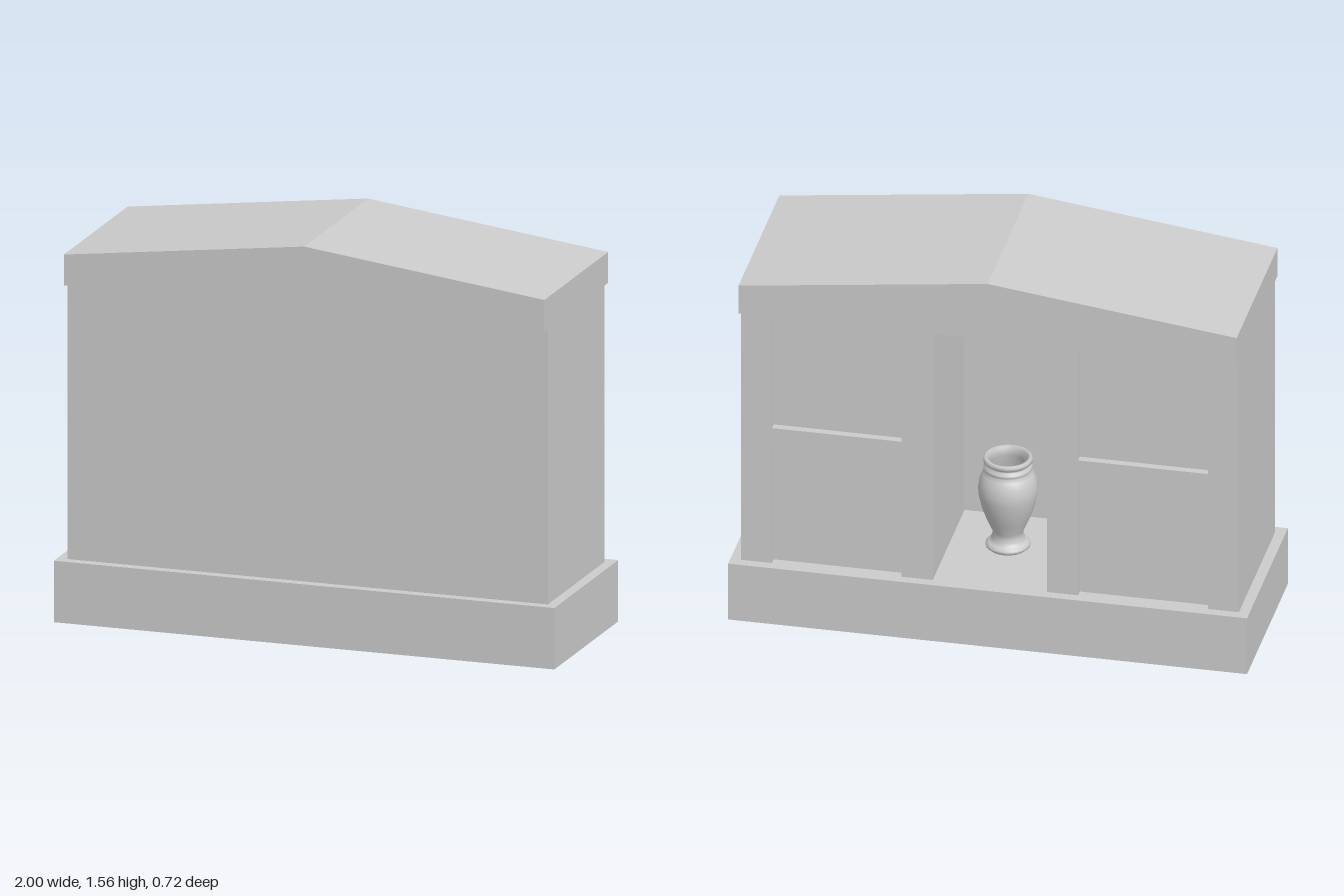
import * as THREE from 'three';

const material = new THREE.MeshStandardMaterial({ color: 0xcccccc });
const BASE_TOP = 0.24, WALL_TOP = 1.32;

function add(group, name, geometry, mat = material) {
  const mesh = new THREE.Mesh(geometry, mat);
  mesh.name = name;
  group.add(mesh);
  return mesh;
}

const polygon = (points) => new THREE.Shape(points.map(([x, y]) => new THREE.Vector2(x, y)));

export function createModel() {
  const model = new THREE.Group();
  model.name = 'mausoleum';

  // Plinth
  add(model, 'base', new THREE.BoxGeometry(2, BASE_TOP, 0.72)).position.y = BASE_TOP / 2;

  // Walls: floor plan (second value is -z) with an open niche and two recessed panels at the back
  const half = [[0.96, -0.32], [0.96, 0.32], [0.84, 0.32], [0.84, 0.29], [0.34, 0.29], [0.34, 0.32], [0.22, 0.32], [0.22, -0.24]];
  const mirrored = half.map(([x, y]) => [-x, y]).reverse();
  const walls = new THREE.ExtrudeGeometry(polygon([...half, ...mirrored]), { depth: WALL_TOP - BASE_TOP, bevelEnabled: false });
  walls.rotateX(-Math.PI / 2);
  add(model, 'walls', walls).position.y = BASE_TOP;

  // Cross rails dividing the recessed panels
  for (const [side, label] of [[1, 'left'], [-1, 'right']]) {
    add(model, label + 'PanelRail', new THREE.BoxGeometry(0.5, 0.08, 0.03)).position.set(side * 0.59, 0.78, -0.305);
  }

  // Low gabled roof
  const gable = polygon([[-0.96, WALL_TOP], [0.96, WALL_TOP], [0.96, 1.44], [0, 1.56], [-0.96, 1.44]]);
  add(model, 'roof', new THREE.ExtrudeGeometry(gable, { depth: 0.72, bevelEnabled: false })).position.z = -0.36;

  // Urn standing in the niche: foot, stem, belly, collar, lip and hollow inside
  const outline = [
    [0, 0], [0.075, 0], [0.084, 0.008], [0.084, 0.018], [0.074, 0.028], [0.062, 0.032], [0.064, 0.044],
    [0.056, 0.052], [0.06, 0.075], [0.08, 0.12], [0.1, 0.175], [0.111, 0.225], [0.113, 0.255],
    [0.108, 0.29], [0.096, 0.318], [0.086, 0.33], [0.092, 0.338], [0.092, 0.348], [0.082, 0.356],
    [0.084, 0.364], [0.093, 0.37], [0.093, 0.382], [0.086, 0.388], [0.074, 0.384], [0.07, 0.35],
    [0.092, 0.3], [0.1, 0.24], [0.085, 0.16], [0.04, 0.09], [0, 0.08],
  ].map(([r, y]) => new THREE.Vector2(r, y));
  const urnMaterial = new THREE.MeshStandardMaterial({ color: 0xcccccc, side: THREE.DoubleSide });
  add(model, 'urn', new THREE.LatheGeometry(outline, 48), urnMaterial).position.y = BASE_TOP;

  return model;
}
